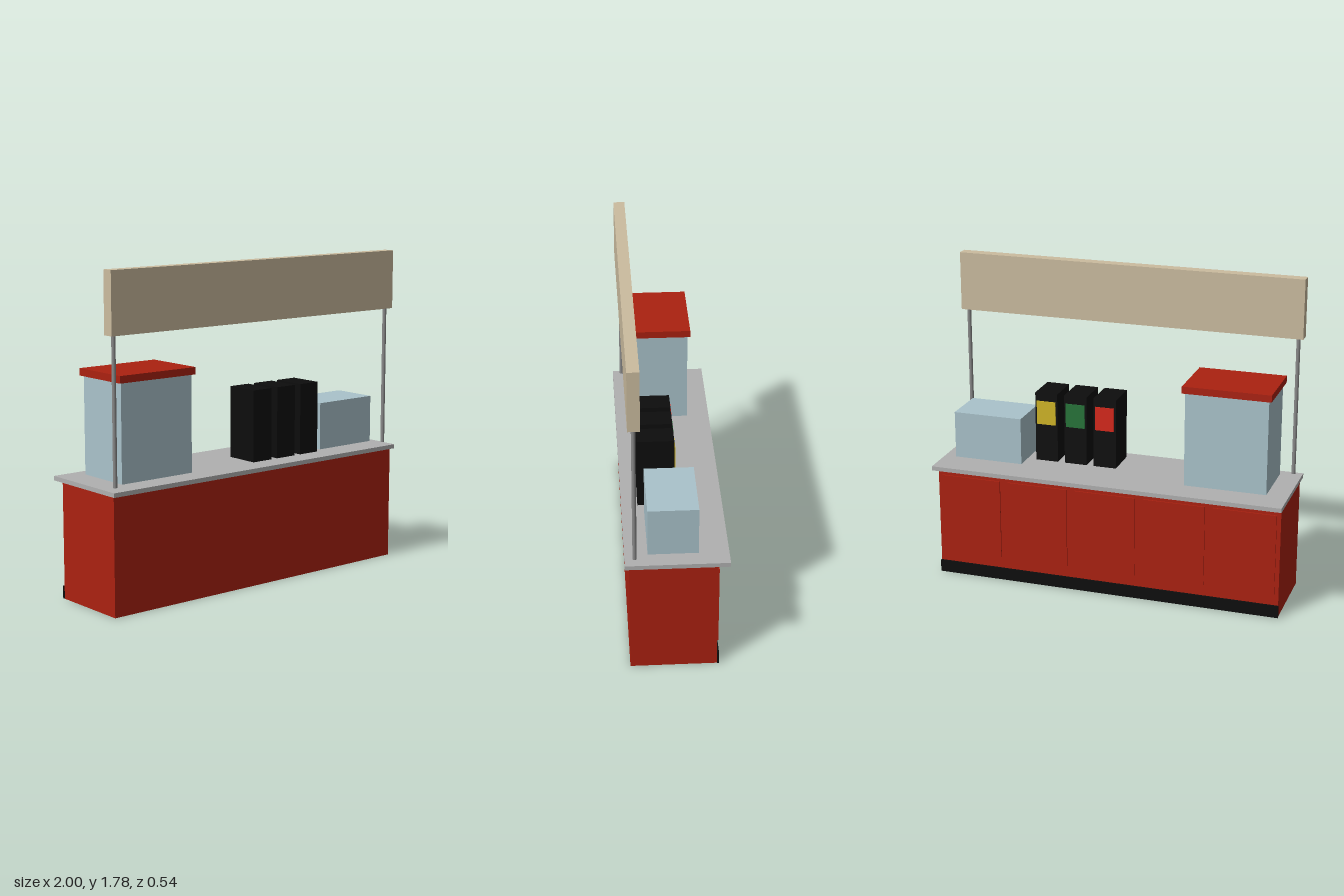
import * as THREE from 'three';

const mat = (name, color) => {
  const m = new THREE.MeshStandardMaterial({ color });
  m.name = name;
  return m;
};

export function createModel() {
  const group = new THREE.Group();
  const red = mat('red', 0xab2110);
  const cream = mat('cream', 0xcbbc9f);
  const glass = mat('pale blue glass', 0xaac3cb);
  const grey = mat('grey', 0xb0b0b0);
  const steel = mat('steel', 0x888888);
  const black = mat('black', 0x0d0d0d);
  const labels = [
    mat('label red', 0xd6281a),
    mat('label green', 0x267339),
    mat('label yellow', 0xd0b526),
  ];

  // Box given by its extents on each axis
  const box = (name, material, [x0, x1], [y0, y1], [z0, z1]) => {
    const mesh = new THREE.Mesh(new THREE.BoxGeometry(x1 - x0, y1 - y0, z1 - z0), material);
    mesh.position.set((x0 + x1) / 2, (y0 + y1) / 2, (z0 + z1) / 2);
    mesh.name = name;
    group.add(mesh);
  };

  // Counter
  box('counterBody', red, [-0.987, 0.987], [0, 0.638], [-0.208, 0.25]);
  box('counterTop', grey, [-1, 1], [0.638, 0.662], [-0.27, 0.272]);
  box('kickBoard', black, [-0.99, 0.99], [0.001, 0.07], [-0.219, -0.208]);

  // Cupboard doors along the back
  for (let i = -2; i <= 2; i++) {
    const x = i * 0.395;
    box('cupboardDoor', red, [x - 0.174, x + 0.174], [0.135, 0.595], [-0.216, -0.208]);
  }

  // Sign board on two posts
  box('signBoard', cream, [-0.987, 0.987], [1.455, 1.785], [0.187, 0.25]);
  for (const side of [-1, 1]) {
    const post = new THREE.Mesh(new THREE.CylinderGeometry(0.011, 0.011, 0.785, 16), steel);
    post.position.set(side * 0.955, 1.0675, 0.22);
    post.name = 'signPost';
    group.add(post);
  }

  // Tall glass cabinet with red lid and dark base tray
  box('tallCabinet', glass, [-0.887, -0.43], [0.676, 1.203], [-0.142, 0.185]);
  box('cabinetLid', red, [-0.903, -0.415], [1.203, 1.242], [-0.157, 0.2]);
  box('cabinetTray', black, [-0.86, -0.46], [0.672, 0.676], [-0.11, 0.15]);

  // Low glass display case
  box('displayCase', glass, [0.524, 0.92], [0.674, 0.94], [-0.111, 0.152]);

  // Three drink dispensers with coloured labels on the serving side
  labels.forEach((label, i) => {
    const x = i * 0.171;
    box('dispenser', black, [x, x + 0.13], [0.674, 1.072], [-0.012, 0.185]);
    box('dispenserLabel', label, [x + 0.01, x + 0.12], [0.89, 1.025], [-0.018, -0.012]);
  });

  return group;
}
